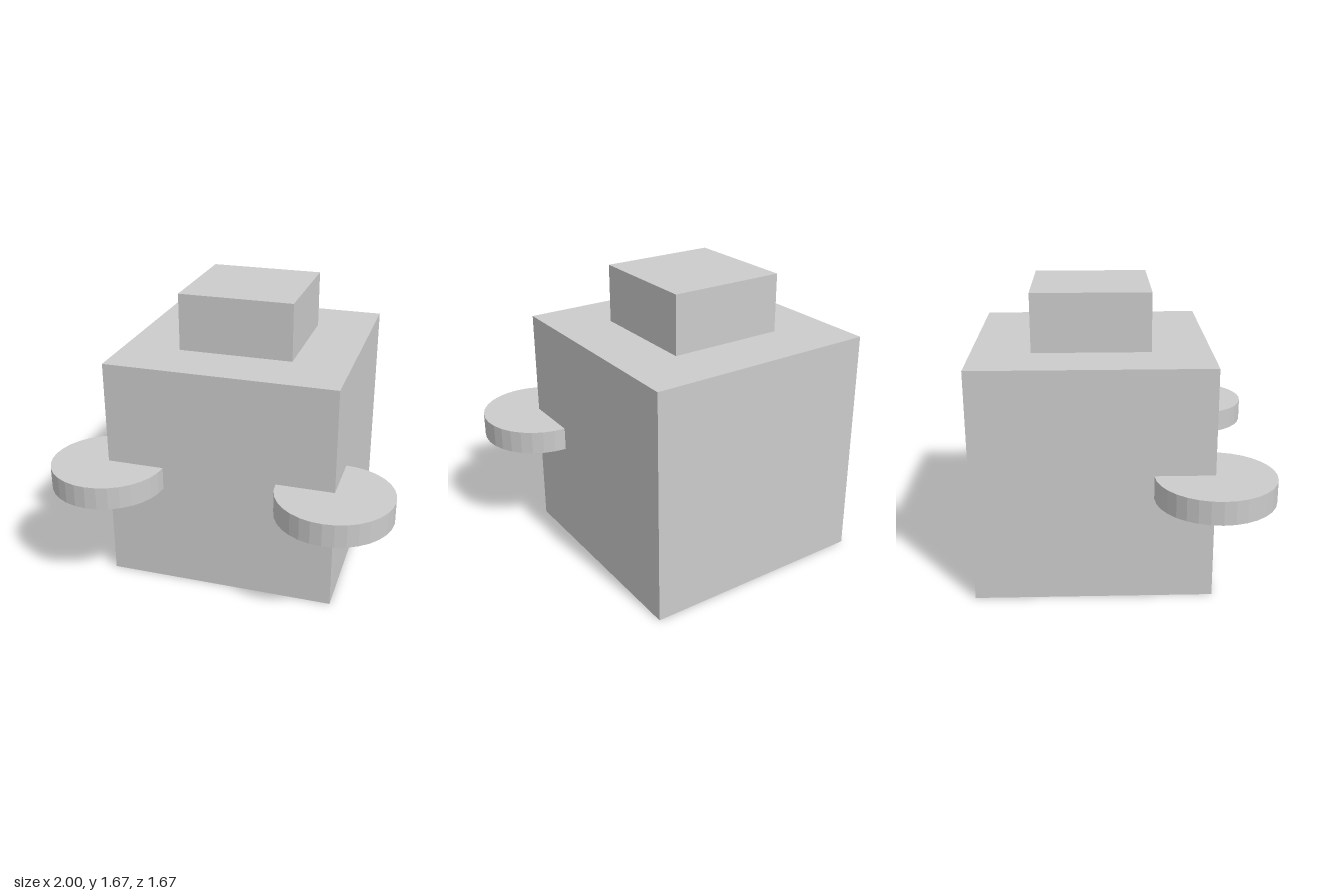
import * as THREE from 'three';

export function createModel() {
  const model = new THREE.Group();
  const material = new THREE.MeshStandardMaterial({ color: 0xcccccc, flatShading: true });
  const U = 1 / 3; // base unit shared by all parts

  function add(name, geometry, x, y, z) {
    const mesh = new THREE.Mesh(geometry, material);
    mesh.name = name;
    mesh.position.set(x, y, z);
    model.add(mesh);
  }

  // Cubic body with a smaller block on top
  add('body', new THREE.BoxGeometry(4 * U, 4 * U, 4 * U), 0, 2 * U, -U / 2);
  add('head', new THREE.BoxGeometry(2 * U, U, 2 * U), 0, 4.5 * U, -U / 2);

  // Flat discs wrapped around the two front vertical edges
  const disc = new THREE.CylinderGeometry(U, U, 0.4 * U, 32);
  for (const [name, side] of [['leftHand', 1], ['rightHand', -1]]) {
    add(name, disc, side * 2 * U, 2 * U, 1.5 * U);
  }

  return model;
}
